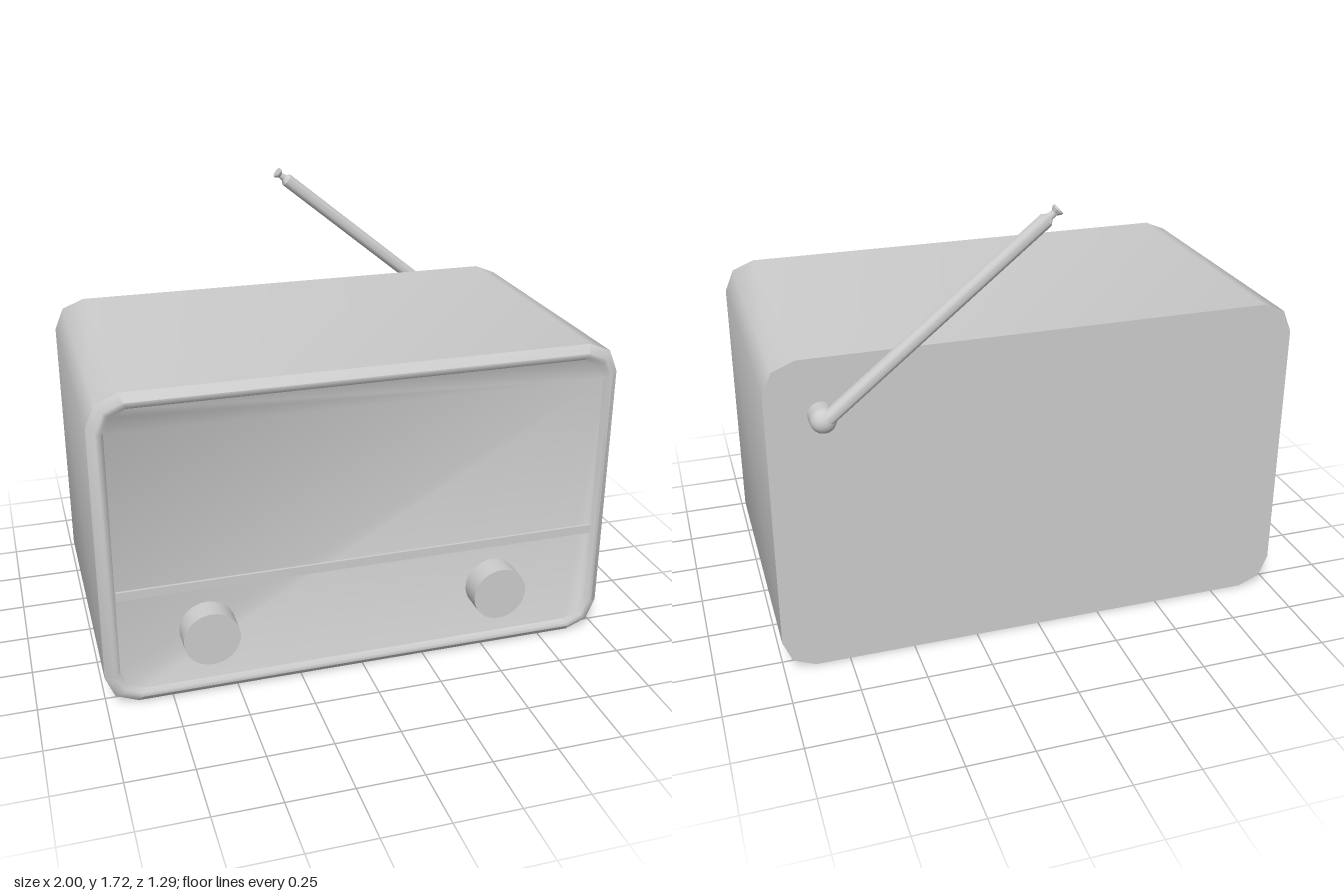
import * as THREE from 'three';
import { toCreasedNormals } from 'three/addons/utils/BufferGeometryUtils.js';

const H = 1.24, CORNER = 0.12;

// Rounded rectangle loop, counter-clockwise from the front, two facets per corner
function loop(inset, z) {
  const r = CORNER - inset * 0.6;
  const x = 1 - inset - r, y = H / 2 - inset - r;
  const pts = [];
  [[1, 1], [-1, 1], [-1, -1], [1, -1]].forEach(([sx, sy], q) => {
    for (let i = 0; i <= 2; i++) {
      const a = (q + i / 2) * Math.PI / 2;
      pts.push([sx * x + r * Math.cos(a), H / 2 + sy * y + r * Math.sin(a), z]);
    }
  });
  return pts;
}

// Skin over successive loops, capped at both ends
function loft(loops) {
  const n = loops[0].length, last = (loops.length - 1) * n, index = [];
  for (let i = 0; i < loops.length - 1; i++) {
    for (let j = 0; j < n; j++) {
      const a = i * n + j, b = i * n + (j + 1) % n;
      index.push(a, b, b + n, a, b + n, a + n);
    }
  }
  for (let j = 1; j < n - 1; j++) {
    index.push(0, j + 1, j);
    index.push(last, last + j, last + j + 1);
  }
  const g = new THREE.BufferGeometry();
  g.setAttribute('position', new THREE.Float32BufferAttribute(loops.flat(2), 3));
  g.setIndex(index);
  return toCreasedNormals(g, 0.83);
}

export function createModel() {
  const model = new THREE.Group();
  model.name = 'radio';
  const material = new THREE.MeshStandardMaterial({ color: 0xcccccc });
  const add = (name, geometry, x, y, z, parent = model) => {
    const mesh = new THREE.Mesh(geometry, material);
    mesh.name = name;
    mesh.position.set(x, y, z);
    parent.add(mesh);
    return mesh;
  };

  // Cabinet with a bevelled rim around a recessed front panel
  const sections = [[0, -0.55], [0, 0.545], [0.03, 0.572], [0.045, 0.57], [0.058, 0.555]];
  add('cabinet', loft(sections.map(([inset, z]) => loop(inset, z))), 0, 0, 0);

  // Trim strip across the front panel
  add('trimStrip', new THREE.BoxGeometry(1.88, 0.035, 0.03), 0, 0.463, 0.55);

  // Control knobs
  for (const [name, x] of [['rightKnob', -0.61], ['leftKnob', 0.525]]) {
    const knob = add(name, new THREE.CylinderGeometry(0.106, 0.106, 0.1, 32), x, 0.28, 0.597);
    knob.rotation.x = Math.PI / 2;
  }

  // Antenna pivot: stub from the back with a rounded end
  const pivot = add('antennaPivot', new THREE.CylinderGeometry(0.047, 0.047, 0.06, 24), 0.805, 1.03, -0.57);
  pivot.rotation.x = Math.PI / 2;
  add('antennaJoint', new THREE.SphereGeometry(0.047, 24, 16), 0.805, 1.03, -0.598);

  // Antenna rod leaning to the right, with a narrow neck and flared tip
  const antenna = new THREE.Group();
  antenna.name = 'antenna';
  antenna.position.set(0.805, 1.03, -0.616);
  antenna.rotation.z = Math.atan2(0.825, 0.67);
  model.add(antenna);
  const profile = [[0, 0], [0.027, 0], [0.027, 1.015], [0.014, 1.03], [0.012, 1.05], [0.022, 1.063], [0.022, 1.07], [0, 1.07]]
    .map(([r, y]) => new THREE.Vector2(r, y));
  add('antennaRod', toCreasedNormals(new THREE.LatheGeometry(profile, 20), 0.6), 0, 0, 0, antenna);

  return model;
}
